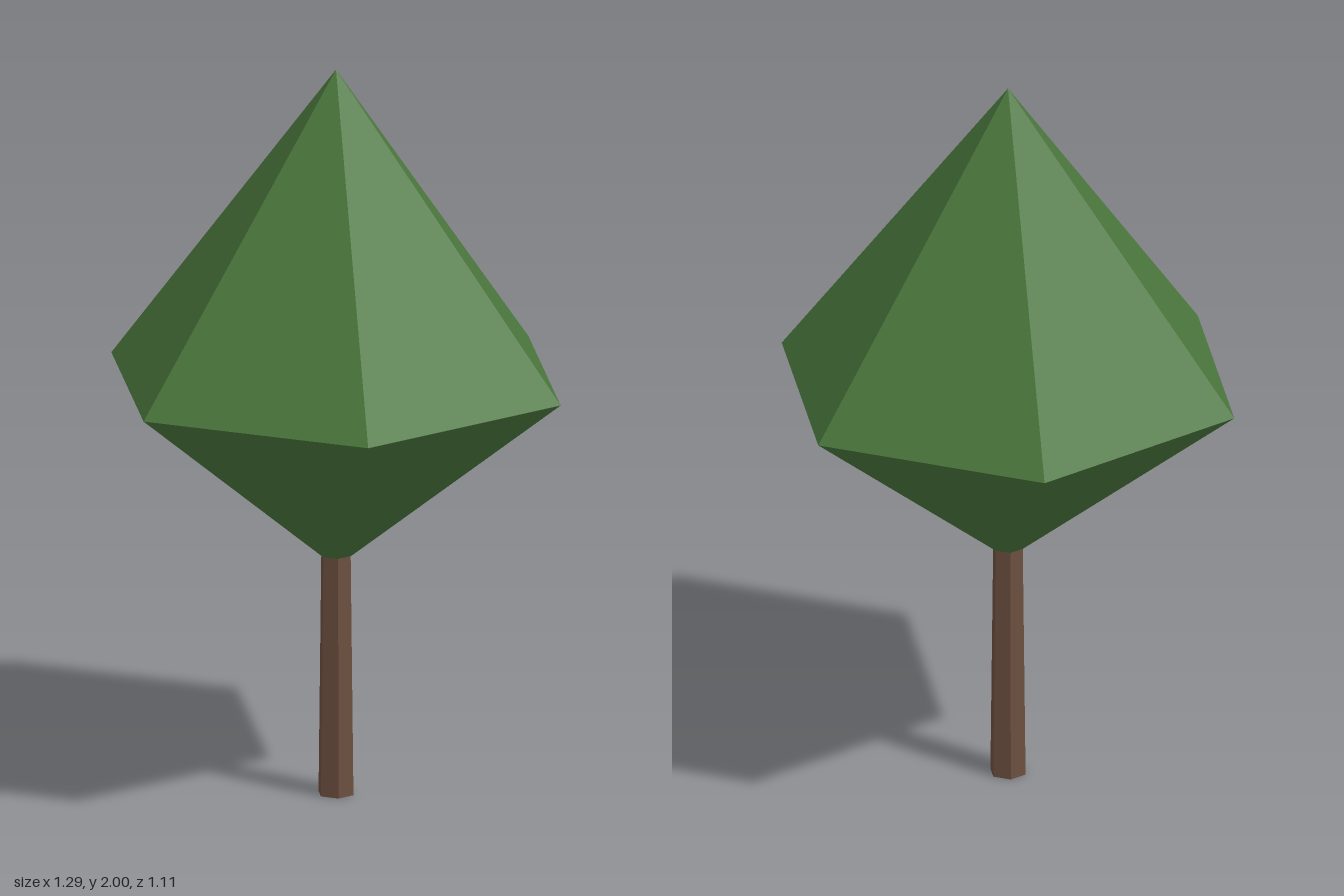
import * as THREE from 'three';

export function createModel() {
  const tree = new THREE.Group();
  tree.name = 'tree';

  const leafGreen = new THREE.MeshStandardMaterial({ color: 0x4a773c, flatShading: true });
  leafGreen.name = 'leaf green';
  const barkBrown = new THREE.MeshStandardMaterial({ color: 0x6b4f3f, flatShading: true });
  barkBrown.name = 'bark brown';

  // Six-sided tapered section between two heights, with corners on the x axis
  function hexSection(name, material, bottomRadius, topRadius, bottomY, topY, open) {
    const geometry = new THREE.CylinderGeometry(
      topRadius, bottomRadius, topY - bottomY, 6, 1, open, Math.PI / 6);
    geometry.translate(0, (bottomY + topY) / 2, 0);
    const mesh = new THREE.Mesh(geometry, material);
    mesh.name = name;
    return mesh;
  }

  // Trunk, capped at the ground
  tree.add(hexSection('trunk', barkBrown, 0.05, 0.042, 0, 0.665, false));

  // Foliage: a tall point above an inverted, truncated underside
  const foliage = new THREE.Group();
  foliage.name = 'foliage';
  foliage.add(
    hexSection('upperFoliage', leafGreen, 0.643, 0, 1.145, 2, true),
    hexSection('lowerFoliage', leafGreen, 0.043, 0.643, 0.66, 1.145, true));
  tree.add(foliage);

  return tree;
}
